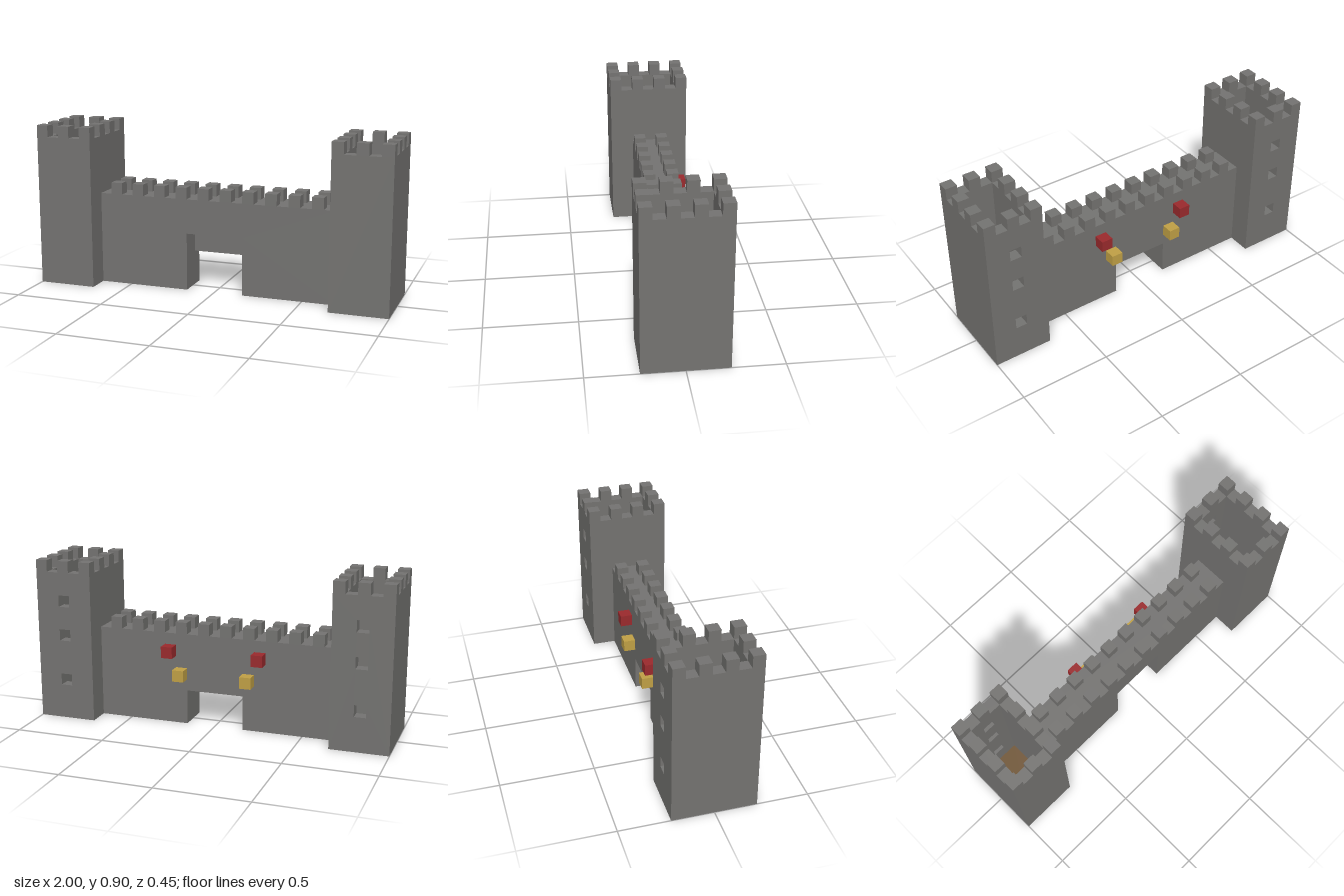
import * as THREE from 'three';

const U = 2 / 31; // one block; all sizes below are in blocks

function material(name, color) {
  const m = new THREE.MeshStandardMaterial({ color });
  m.name = name;
  return m;
}

export function createModel() {
  const stone = material('stone', 0x747371);
  const wood = material('wood', 0x6f5433);
  const red = material('red', 0x9a2a2d);
  const gold = material('gold', 0xc0a045);

  const castle = new THREE.Group();
  castle.name = 'castle';

  function add(parent, name, geometry, mat, x, y, z) {
    const mesh = new THREE.Mesh(geometry, mat);
    mesh.name = name;
    mesh.position.set(x, y, z);
    parent.add(mesh);
    return mesh;
  }

  // Box centred on x and z, standing on y
  function box(parent, name, w, h, d, mat, x, y, z) {
    return add(parent, name, new THREE.BoxGeometry(w, h, d), mat, x, y + h / 2, z);
  }

  const polygon = (points) => points.map(([x, y]) => new THREE.Vector2(x, y));
  const extrude = (shape, depth) =>
    new THREE.ExtrudeGeometry(shape, { depth, bevelEnabled: false });

  // Hollow tower with windows in the back wall
  function tower(name, x) {
    const g = new THREE.Group();
    g.name = name;
    g.position.x = x;
    castle.add(g);

    box(g, 'towerFrontWall', 5, 13, 1, stone, 0, 0, 3);
    for (const side of [-1, 1]) box(g, 'towerSideWall', 1, 13, 5, stone, side * 2, 0, 0);

    const back = new THREE.Shape(polygon([[-2.5, 0], [2.5, 0], [2.5, 13], [-2.5, 13]]));
    for (const y of [3, 7, 10]) {
      back.holes.push(new THREE.Path(
        polygon([[-0.5, y], [-0.5, y + 1], [0.5, y + 1], [0.5, y]])));
    }
    add(g, 'towerBackWall', extrude(back, 1), stone, 0, 0, -3.5);
    box(g, 'towerFloor', 3, 1, 5, wood, 0, 0, 0);

    // Merlons on every second block around the rim
    for (let mx = -2; mx <= 2; mx += 2) {
      for (let mz = -3; mz <= 3; mz += 2) {
        if (Math.abs(mx) === 2 || Math.abs(mz) === 3) {
          box(g, 'towerMerlon', 1, 1, 1, stone, mx, 13, mz);
        }
      }
    }
  }
  tower('rightTower', -13);
  tower('leftTower', 13);

  // Curtain wall with the gate notch and a recessed lintel
  const wall = new THREE.Shape(polygon([
    [-10.5, 0], [-2.5, 0], [-2.5, 5], [2.5, 5], [2.5, 0], [10.5, 0], [10.5, 8], [-10.5, 8],
  ]));
  add(castle, 'curtainWall', extrude(wall, 3), stone, 0, 0, -1.5);
  box(castle, 'gateLintel', 5, 2, 1, stone, 0, 3, -1);

  for (let x = -9; x <= 9; x += 2) {
    for (const z of [-1, 1]) box(castle, 'wallMerlon', 1, 1, 1, stone, x, 8, z);
  }

  // Coloured blocks on the back of the wall
  for (const side of [-1, 1]) {
    box(castle, 'goldBlock', 1, 1, 1, gold, side * 3, 4, -2);
    box(castle, 'redBlock', 1, 1, 1, red, side * 4, 6, -2);
  }

  castle.scale.setScalar(U);
  const root = new THREE.Group();
  root.name = 'castleModel';
  root.add(castle);
  return root;
}
